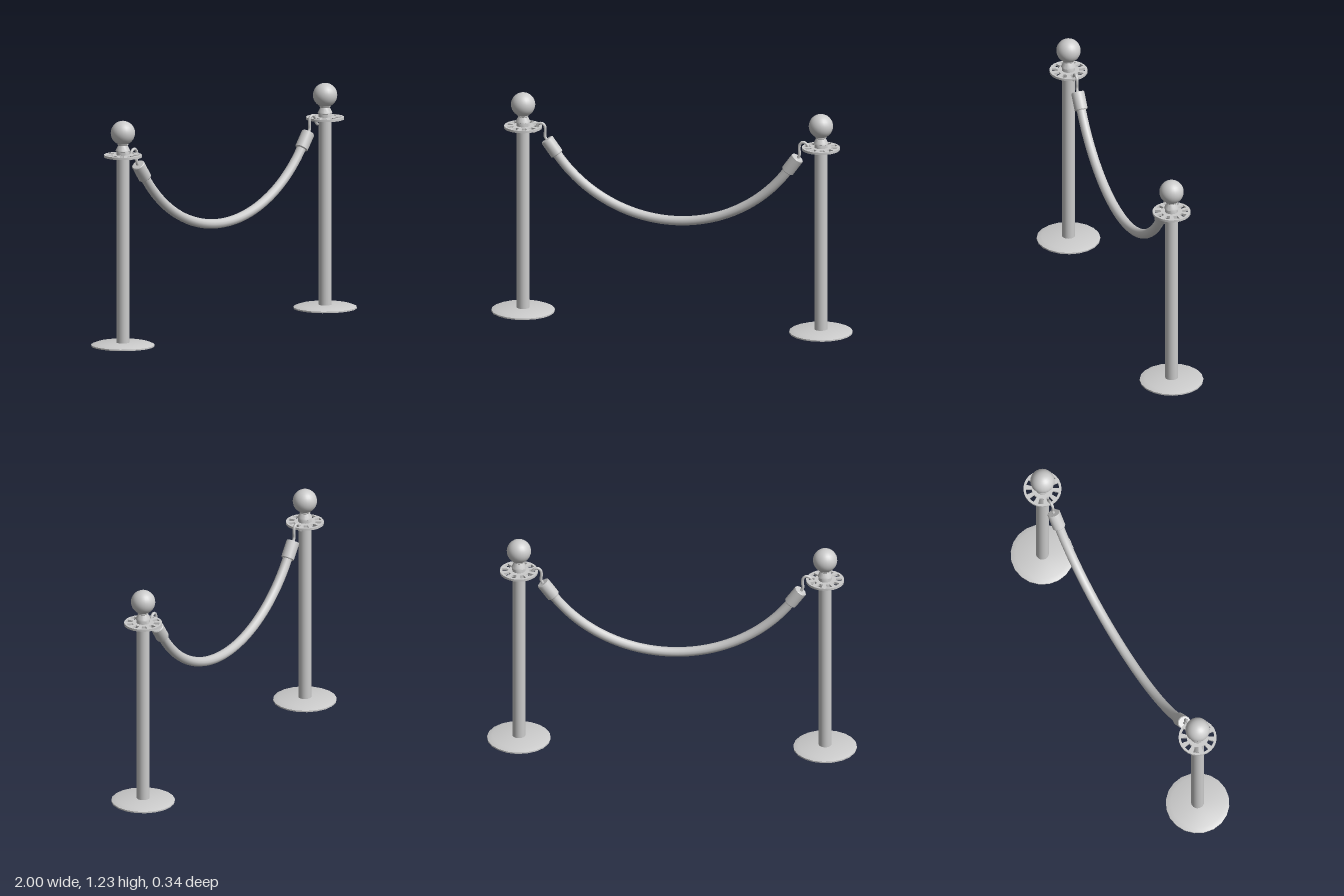
import * as THREE from 'three';
import { toCreasedNormals } from 'three/addons/utils/BufferGeometryUtils.js';

const material = new THREE.MeshStandardMaterial({ color: 0xcccccc });
const POST_X = 0.828;
const ROPE_Z = -0.006;

function add(parent, name, geometry, x = 0, y = 0, z = 0) {
  const mesh = new THREE.Mesh(geometry, material);
  mesh.name = name;
  mesh.position.set(x, y, z);
  parent.add(mesh);
  return mesh;
}

// turned part from [radius, height] pairs, listed bottom to top
function turned(profile, sides) {
  const points = profile.map(([r, y]) => new THREE.Vector2(r, y));
  return toCreasedNormals(new THREE.LatheGeometry(points, sides), 0.5);
}

// flat ring plate pierced by ten wedge slots, the first facing the rope
function slottedPlate() {
  const shape = new THREE.Shape();
  shape.absarc(0, 0, 0.103, 0, Math.PI * 2);
  const half = 0.17;
  for (let i = 0; i < 10; i++) {
    const a = Math.PI + (i * Math.PI) / 5;
    const slot = new THREE.Path();
    slot.absarc(0, 0, 0.09, a - half, a + half, false);
    slot.absarc(0, 0, 0.058, a + half, a - half, true);
    slot.closePath();
    shape.holes.push(slot);
  }
  const geometry = new THREE.ExtrudeGeometry(shape, { depth: 0.013, bevelEnabled: false, curveSegments: 12 });
  geometry.rotateX(-Math.PI / 2);
  return toCreasedNormals(geometry, 0.6);
}

// hook leaves the sleeve, rises over the plate rim and drops through a slot
function hookGeometry() {
  const path = new THREE.CatmullRomCurve3([
    [0.696, 0.97], [0.708, 0.995], [0.706, 1.025], [0.709, 1.05], [0.722, 1.064],
    [0.739, 1.063], [0.752, 1.05], [0.758, 1.033], [0.764, 1.018], [0.772, 1.012],
  ].map(([x, y]) => new THREE.Vector3(x, y, 0)));
  return new THREE.TubeGeometry(path, 36, 0.008, 8);
}

export function createModel() {
  const model = new THREE.Group();
  model.name = 'ropeBarrier';

  // rope hangs as a circular arc
  const R = 0.789, centreY = 1.359, half = 0.945;
  const rope = new THREE.TorusGeometry(R, 0.026, 12, 48, half * 2);
  rope.rotateZ(-Math.PI / 2 - half);
  add(model, 'rope', rope, 0, centreY, ROPE_Z);

  const base = turned([[0, 0], [0.172, 0], [0.172, 0.008], [0.145, 0.018], [0, 0.02]], 20);
  const post = new THREE.CylinderGeometry(0.035, 0.035, 1.03, 20);
  const plate = slottedPlate();
  const neck = turned([
    [0, 1.04], [0.036, 1.04], [0.036, 1.066], [0.04, 1.068], [0.037, 1.076], [0.026, 1.098],
    [0.03, 1.102], [0.03, 1.112], [0.025, 1.116], [0, 1.12],
  ], 20);
  const ball = new THREE.SphereGeometry(0.066, 24, 16);
  const sleeve = turned([
    [0, -0.05], [0.032, -0.05], [0.036, -0.046], [0.036, 0.046], [0.032, 0.05], [0, 0.05],
  ], 16);
  const hook = hookGeometry();

  // two identical ends, the second turned half way round
  for (const side of [1, -1]) {
    const end = new THREE.Group();
    end.name = side > 0 ? 'leftStanchion' : 'rightStanchion';
    end.rotation.y = side > 0 ? 0 : Math.PI;
    add(end, 'base', base, POST_X);
    add(end, 'post', post, POST_X, 0.525);
    add(end, 'slottedPlate', plate, POST_X, 1.034);
    add(end, 'neck', neck, POST_X);
    add(end, 'ball', ball, POST_X, 1.166);
    add(end, 'sleeve', sleeve, 0.6685, 0.936, ROPE_Z * side).rotation.z = half - Math.PI / 2;
    add(end, 'hook', hook, 0, 0, ROPE_Z * side);
    model.add(end);
  }
  return model;
}
